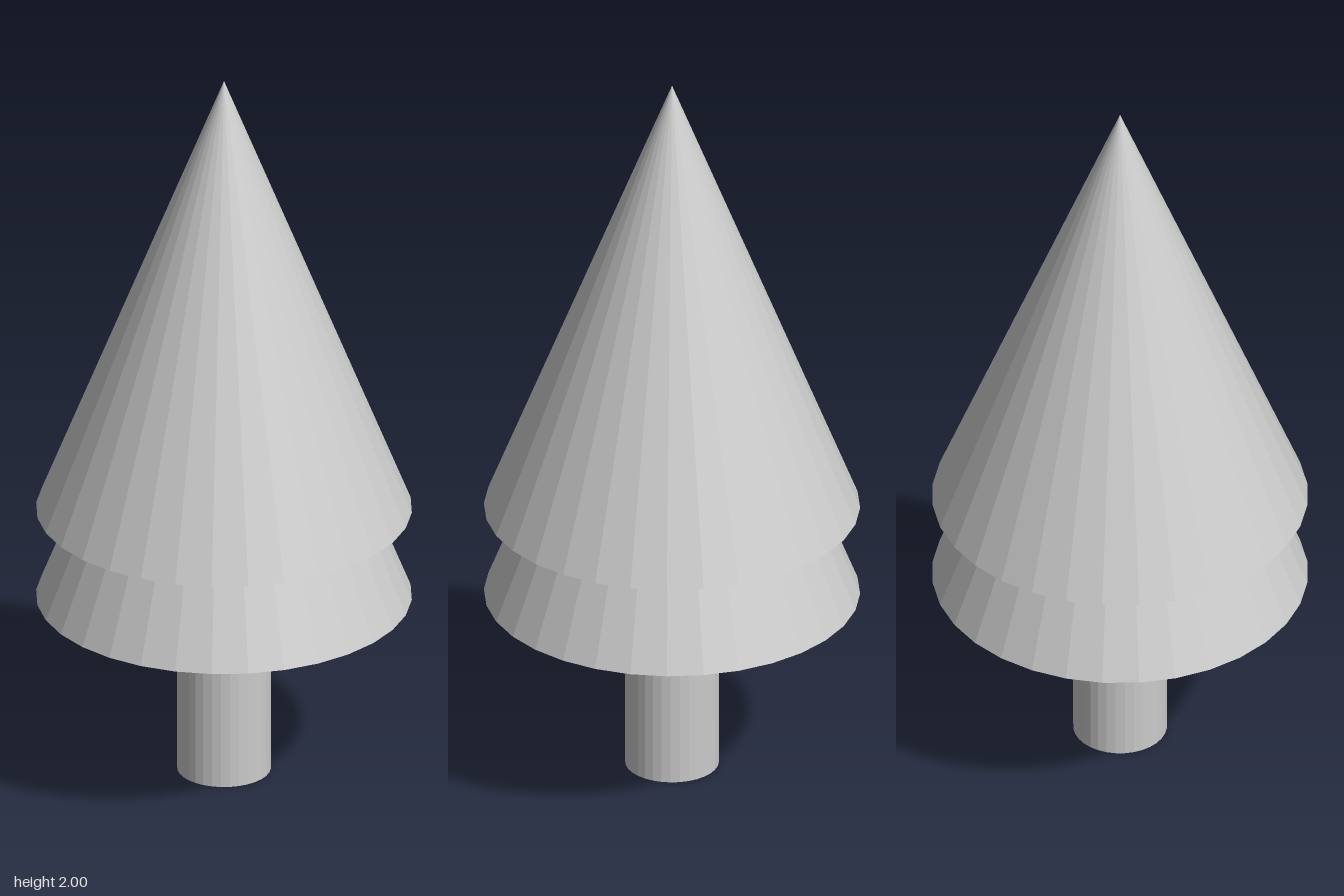
import * as THREE from 'three';

const SIDES = 32;

export function createModel() {
  const tree = new THREE.Group();
  tree.name = 'tree';
  const material = new THREE.MeshStandardMaterial({ color: 0xcccccc, flatShading: true });

  // Adds a part standing on the given base height
  const add = (name, geometry, height, baseY) => {
    const mesh = new THREE.Mesh(geometry, material);
    mesh.name = name;
    mesh.position.y = baseY + height / 2;
    tree.add(mesh);
  };

  // Trunk
  const trunkHeight = 0.505;
  add('trunk', new THREE.CylinderGeometry(0.124, 0.124, trunkHeight, SIDES), trunkHeight, 0);

  // Two equal foliage cones, the upper one slipped over the lower
  const coneHeight = 1.243;
  const tiers = [['lowerFoliage', 0.503], ['upperFoliage', 0.757]];
  for (const [name, baseY] of tiers) {
    add(name, new THREE.ConeGeometry(0.497, coneHeight, SIDES), coneHeight, baseY);
  }

  return tree;
}
